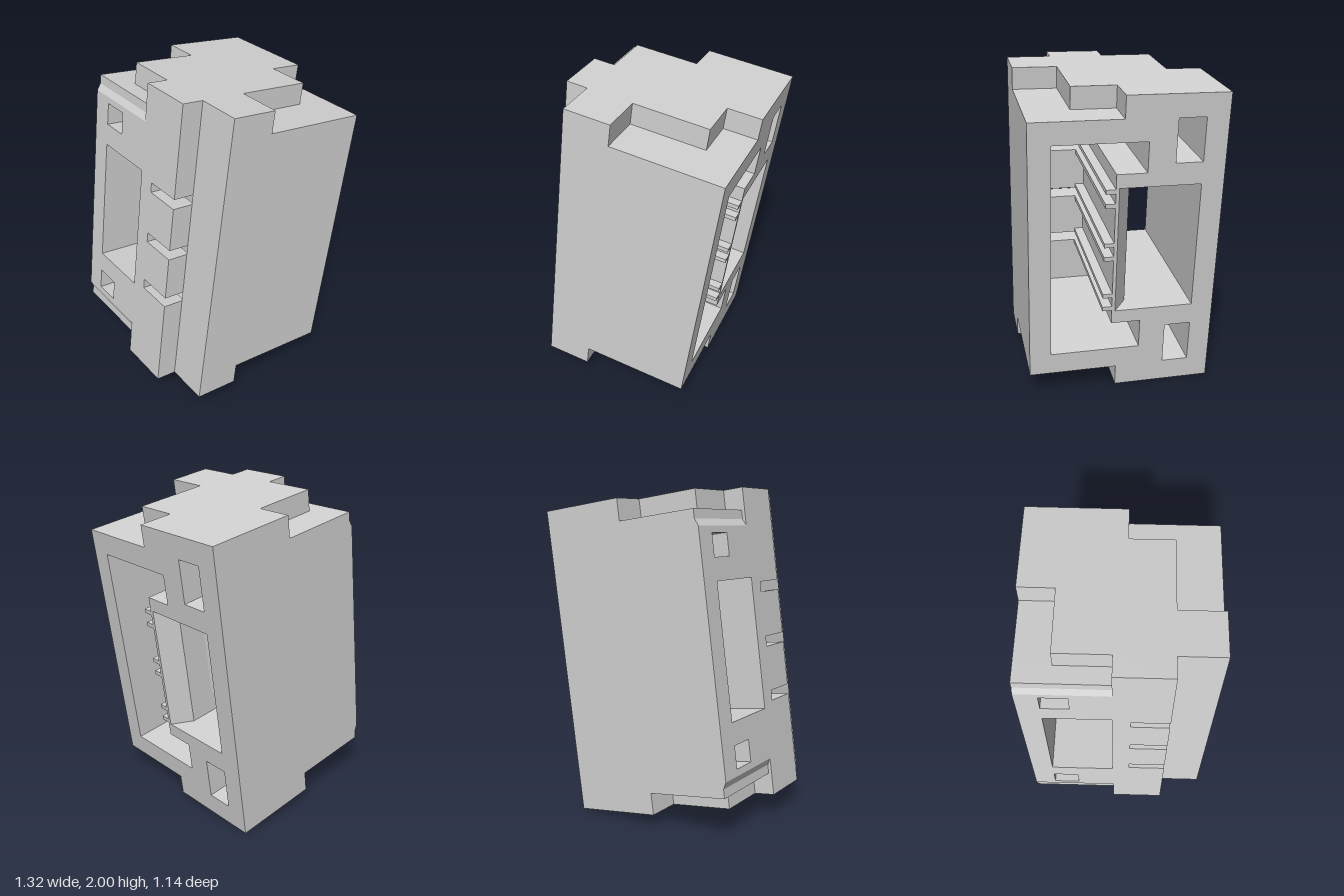
import * as THREE from 'three';

// Local frame before the tilt: x across, y along the housing, z to the front.
const HALF_W = 0.54, HALF_H = 0.938, BODY_H = 0.805, HALF_D = 0.57;
const TILT = -0.1309;

const grey = new THREE.MeshStandardMaterial({ color: 0xd2d2d2 });
grey.name = 'housing grey';

const makeShape = (points, holes = []) => {
  const toV = (list) => list.map(([a, b]) => new THREE.Vector2(a, b));
  const shape = new THREE.Shape(toV(points));
  holes.forEach((h) => shape.holes.push(new THREE.Path(toV(h))));
  return shape;
};

const extrude = (shape, depth) => new THREE.ExtrudeGeometry(shape, { depth, bevelEnabled: false });

const part = (name, geo) => {
  const mesh = new THREE.Mesh(geo, grey);
  mesh.name = name;
  return mesh;
};

const rect = (z0, z1, y0, y1) => [[z0, y0], [z1, y0], [z1, y1], [z0, y1]];

// Slab from x0 to x1; the counter-clockwise outline and the holes are given as [z, y].
function slab(name, x0, x1, outline, holes = []) {
  const flip = (list) => list.map(([z, y]) => [-z, y]).reverse();
  const geo = extrude(makeShape(flip(outline), holes.map(flip)), x1 - x0);
  return part(name, geo.rotateY(Math.PI / 2).translate(x0, 0, 0));
}

// Prism from y0 to y1; the footprint is given as [x, z].
function prism(name, y0, y1, footprint) {
  const geo = extrude(makeShape(footprint.map(([x, z]) => [x, -z])), y1 - y0);
  return part(name, geo.rotateX(-Math.PI / 2).translate(0, y0, 0));
}

export function createModel() {
  const model = new THREE.Group();
  model.name = 'terminalHousing';
  const slotCentres = [-0.337, 0, 0.337];
  const slotHalf = 0.031;

  // Openings shared by the slabs
  const cavity = [[0.44, -0.67], [0.44, 0.67], [-0.11, 0.67], [-0.11, 0.485],
    [0.07, 0.485], [0.07, -0.485], [-0.11, -0.485], [-0.11, -0.67]];
  const smallHoles = (reach) => [rect(-0.435, -0.272, 0.535, reach), rect(-0.435, -0.272, -reach, -0.535)];
  const window = (z1) => rect(-0.435, z1, -0.4, 0.4);
  const innerHoles = [...smallHoles(0.67), window(-0.037)];
  const body = rect(-HALF_D, HALF_D, -BODY_H, BODY_H);

  // Main body, from the open side to the slotted side
  model.add(slab('openSideBody', 0, HALF_W, body, [...smallHoles(0.8), window(0.05), cavity]));
  model.add(slab('innerBody', -0.395, 0, body, [...innerHoles, cavity]));
  model.add(slab('cavityWall', -0.41, -0.395, body,
    [...innerHoles, ...slotCentres.map((c) => rect(0.07, 0.299, c - slotHalf, c + slotHalf))]));

  // Slotted side plate, with slots open at its front edge
  const slottedEdge = slotCentres.flatMap((c) => [[0.3, c - slotHalf], [0.07, c - slotHalf],
    [0.07, c + slotHalf], [0.3, c + slotHalf]]);
  model.add(slab('slottedPlate', -0.52, -0.41, [[-HALF_D, -BODY_H], [0.3, -BODY_H],
    ...slottedEdge, [0.3, BODY_H], [-HALF_D, BODY_H]], innerHoles));
  model.add(slab('outerPlate', -HALF_W, -0.52, [[-HALF_D, -0.71], [-0.035, -0.71], [-0.035, -BODY_H],
    [0.3, -BODY_H], ...slottedEdge, [0.3, BODY_H], [-0.035, BODY_H], [-0.035, 0.71], [-HALF_D, 0.71]],
  innerHoles));

  // Bevels at both ends of the outer plate
  [-1, 1].forEach((side) => {
    const bevel = extrude(makeShape([[-HALF_W, side * 0.71], [-0.52, side * 0.71], [-0.52, side * 0.75]]),
      HALF_D - 0.035);
    model.add(part('plateBevel', bevel.translate(0, 0, -HALF_D)));
  });

  // Stepped end caps
  const capFootprint = [[-0.41, HALF_D], [-0.13, HALF_D], [-0.13, 0.3], [0.33, 0.3], [0.33, 0.033],
    [HALF_W, 0.033], [HALF_W, -HALF_D], [-0.01, -HALF_D], [-0.01, -0.355], [-0.41, -0.355],
    [-0.41, -0.035], [-HALF_W, -0.035], [-HALF_W, 0.3], [-0.41, 0.3]];
  model.add(prism('topCap', BODY_H, HALF_H, capFootprint));
  model.add(prism('bottomCap', -HALF_H, -BODY_H, capFootprint));

  // Chamfered window jamb and its sloping clip
  model.add(prism('windowJamb', -0.4, 0.4, [[0, 0.05], [HALF_W, 0.05], [0.42, -0.037], [0, -0.037]]));
  model.add(prism('clip', -0.27, 0.27, [[0.25, -0.037], [-0.17, -0.165], [-0.17, -0.037]]));

  // Guide rails on both sides of each slot
  slotCentres.forEach((c) => [-1, 1].forEach((side) => {
    const rail = part('guideRail', new THREE.BoxGeometry(HALF_W + 0.395, 0.027, 0.058));
    rail.position.set((HALF_W - 0.395) / 2, c + side * 0.044, 0.099);
    model.add(rail);
  }));

  model.rotation.z = TILT;
  model.position.y = 1;
  const root = new THREE.Group();
  root.name = 'housing';
  root.add(model);
  return root;
}
